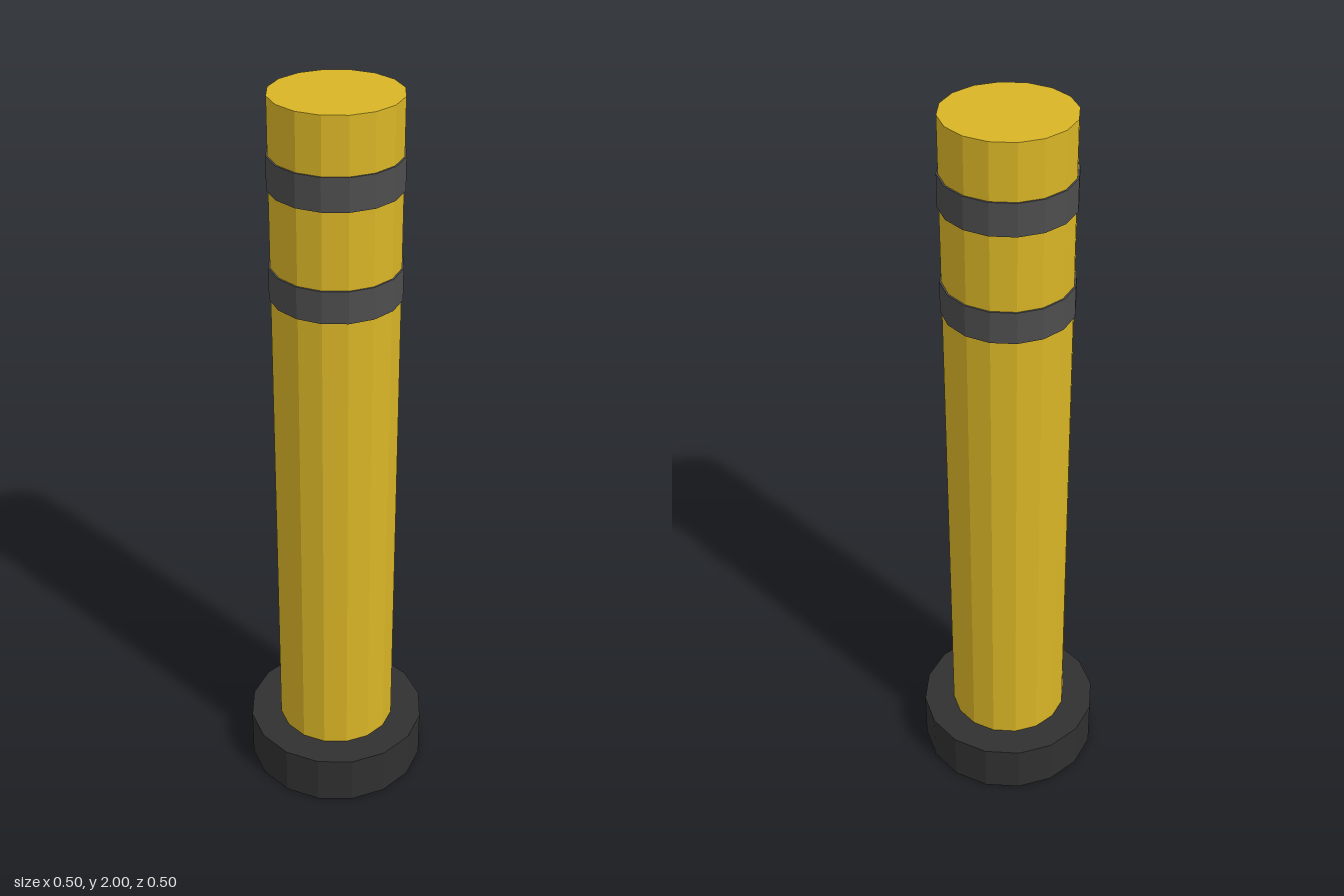
import * as THREE from 'three';

const SIDES = 16;

function paint(name, color) {
  const material = new THREE.MeshStandardMaterial({ color, flatShading: true });
  material.name = name;
  return material;
}

export function createModel() {
  const group = new THREE.Group();
  group.name = 'bollard';

  const yellow = paint('safety yellow', 0xd9b526);
  const black = paint('base black', 0x303030);
  const grey = paint('band grey', 0x4d4d4d);

  // Upright faceted drum between two heights
  function drum(name, radius, bottom, top, material) {
    const height = top - bottom;
    const mesh = new THREE.Mesh(new THREE.CylinderGeometry(radius, radius, height, SIDES), material);
    mesh.position.y = bottom + height / 2;
    mesh.name = name;
    group.add(mesh);
  }

  // Foot and post
  drum('base', 0.25, 0, 0.143, black);
  drum('post', 0.164, 0.143, 2, yellow);

  // Raised bands around the post
  drum('lowerBand', 0.1685, 1.486, 1.571, grey);
  drum('upperBand', 0.1685, 1.771, 1.856, grey);

  return group;
}
